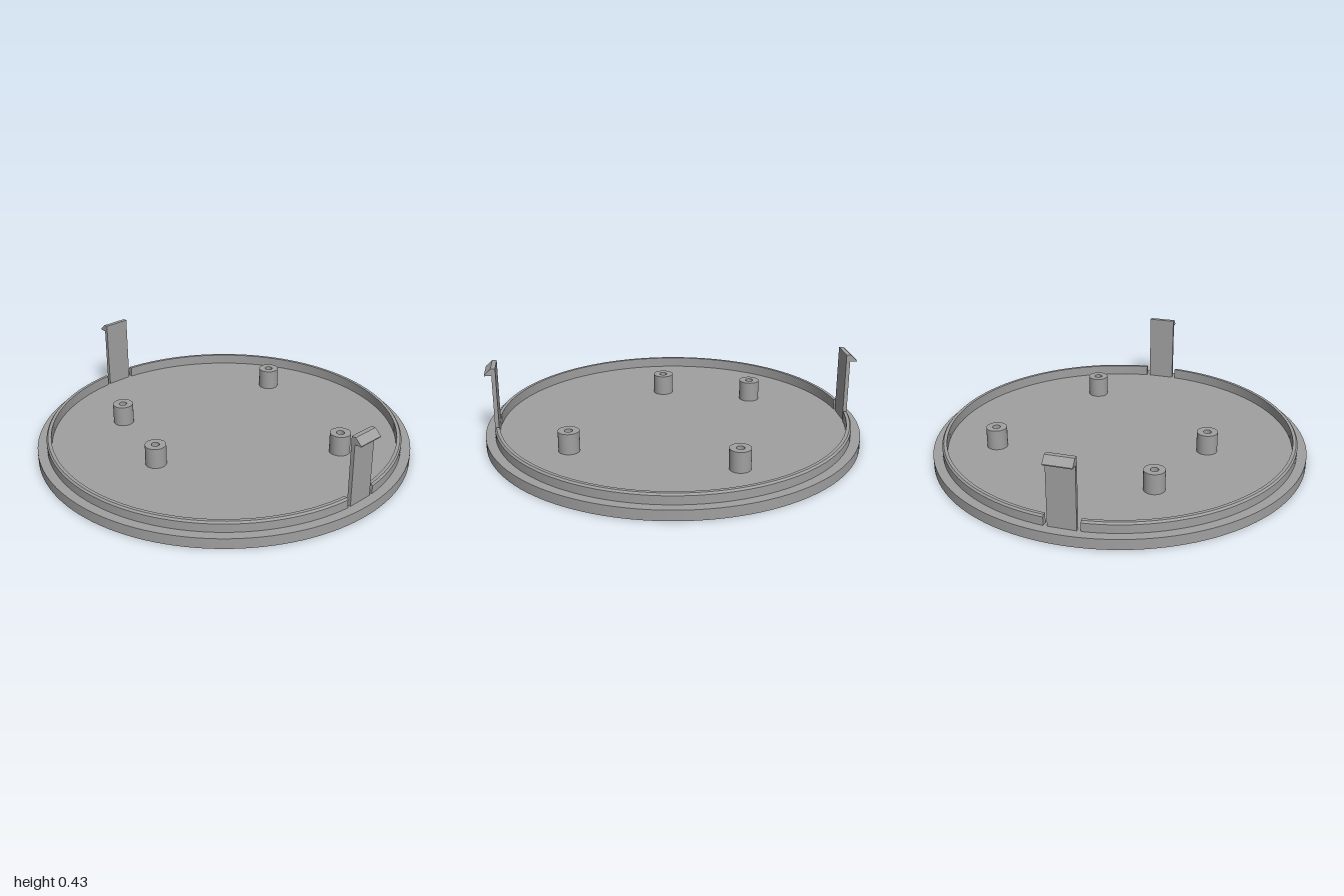
import * as THREE from 'three';
import { toCreasedNormals } from 'three/addons/utils/BufferGeometryUtils.js';

const FLOOR = 0.055;
const grey = new THREE.MeshStandardMaterial({ color: 0xa0a0a0 });
grey.name = 'grey plastic';

const points = (list) => list.map(([x, y]) => new THREE.Vector2(x, y));

function part(name, geometry) {
  const mesh = new THREE.Mesh(geometry, grey);
  mesh.name = name;
  return mesh;
}

// Revolve a profile, keeping its corners sharp
function revolve(profile, segments, start = 0, length = Math.PI * 2) {
  return toCreasedNormals(new THREE.LatheGeometry(points(profile), segments, start, length), 0.5);
}

// Flat end of a partly revolved profile, at the given angle
function endCap(profile, angle, flip) {
  const cap = new THREE.ShapeGeometry(new THREE.Shape(points(profile)));
  if (flip) cap.setIndex(Array.from(cap.index.array).reverse());
  cap.computeVertexNormals();
  return cap.rotateY(angle - Math.PI / 2);
}

export function createModel() {
  const model = new THREE.Group();
  model.name = 'round cover';

  // Base disc
  model.add(part('baseDisc', revolve([[0, 0], [1, 0], [1, FLOOR], [0, FLOOR]], 128)));

  // Raised lip in two arcs, with a chamfered outer edge and gaps for the clips
  const lip = [[0.925, FLOOR], [0.95, FLOOR], [0.95, 0.1], [0.942, 0.11], [0.925, 0.11], [0.925, FLOOR]];
  const gap = Math.asin(0.09 / 0.94);
  for (const [name, middle] of [['frontLip', 0], ['backLip', Math.PI]]) {
    const start = middle - Math.PI / 2 + gap;
    const length = Math.PI - 2 * gap;
    const group = new THREE.Group();
    group.name = name;
    group.add(
      part('lipWall', revolve(lip, 64, start, length)),
      part('lipStart', endCap(lip.slice(0, -1), start, false)),
      part('lipEnd', endCap(lip.slice(0, -1), start + length, true)),
    );
    model.add(group);
  }

  // Snap clips with an outward hook
  const clipShape = new THREE.Shape(points([
    [0.925, FLOOR], [0.946, FLOOR], [0.946, 0.39], [0.983, 0.39],
    [0.983, 0.395], [0.948, 0.427], [0.925, 0.427],
  ]));
  const clip = new THREE.ExtrudeGeometry(clipShape, { depth: 0.144, bevelEnabled: false });
  clip.translate(0, 0, -0.072);
  const leftClip = part('leftClip', clip);
  const rightClip = part('rightClip', clip);
  rightClip.rotation.y = Math.PI;
  model.add(leftClip, rightClip);

  // Hollow screw posts
  const post = revolve(
    [[0.021, FLOOR], [0.055, FLOOR], [0.055, 0.165], [0.021, 0.165], [0.021, FLOOR]], 32);
  for (const [x, z] of [[-0.255, -0.61], [0.565, -0.3], [-0.48, 0.315], [0, 0.48]]) {
    const mesh = part('screwPost', post);
    mesh.position.set(x, 0, z);
    model.add(mesh);
  }
  return model;
}
